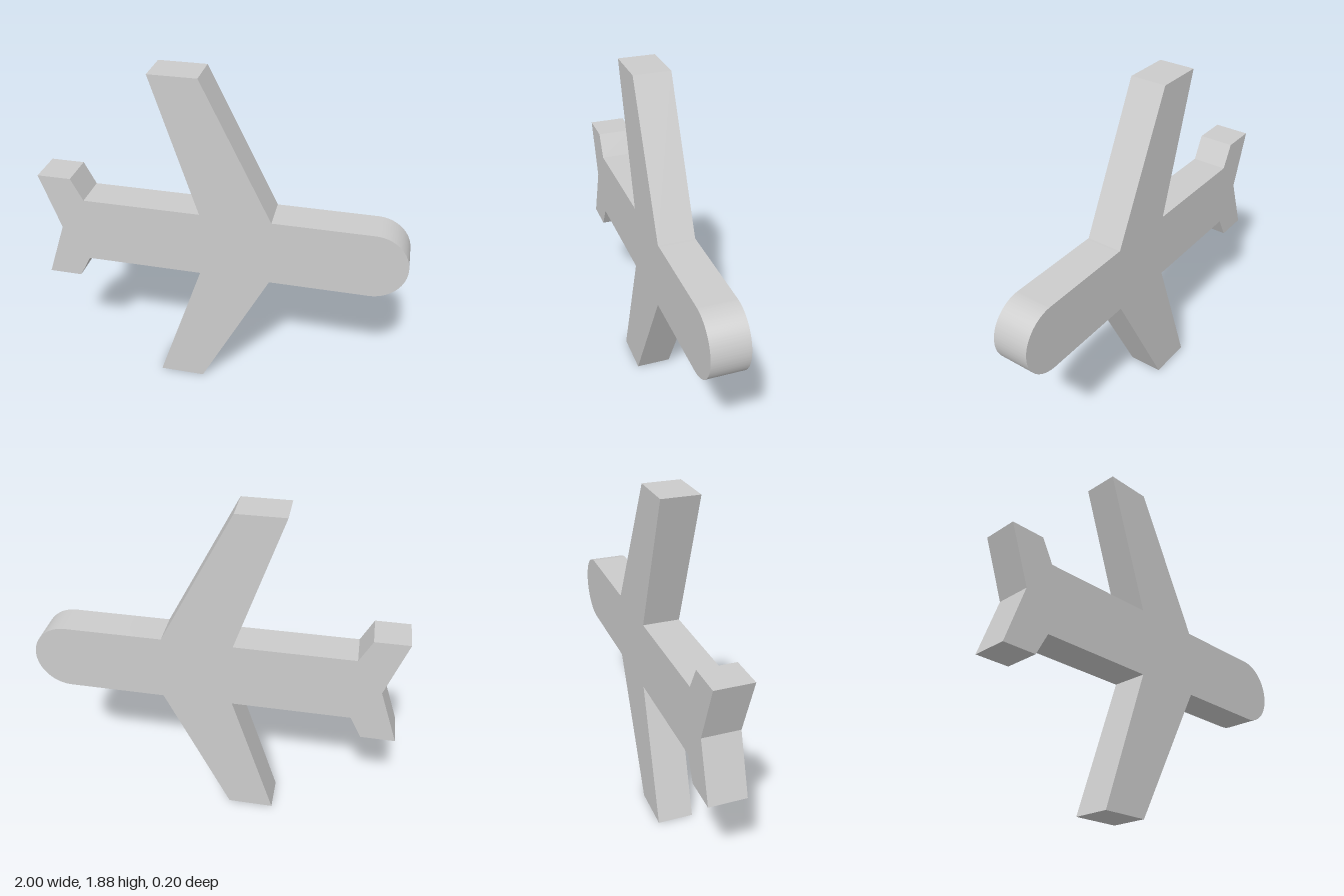
import * as THREE from 'three';
import { toCreasedNormals } from 'three/addons/utils/BufferGeometryUtils.js';

const DEPTH = 0.2;
const HALF_SPAN = 0.94;
const NOSE_RADIUS = 0.1875;

// Upper half of the outline, from the nose back to the tail notch
const upperOutline = [
  [0.28, NOSE_RADIUS],    // wing root, leading edge
  [-0.1, HALF_SPAN],      // wing tip
  [-0.355, HALF_SPAN],
  [-0.105, NOSE_RADIUS],  // wing root, trailing edge
  [-0.75, NOSE_RADIUS],   // tail fin
  [-0.815, 0.3125],
  [-1, 0.3125],
];

export function createModel() {
  const shape = new THREE.Shape();

  // Round nose, swept from bottom to top
  shape.absarc(1 - NOSE_RADIUS, 0, NOSE_RADIUS, -Math.PI / 2, Math.PI / 2, false);

  // Upper wing and fin, tail notch, then the mirrored lower half
  upperOutline.forEach(([x, y]) => shape.lineTo(x, y));
  shape.lineTo(-0.893, 0);
  [...upperOutline].reverse().forEach(([x, y]) => shape.lineTo(x, -y));
  shape.closePath();

  const extruded = new THREE.ExtrudeGeometry(shape, {
    depth: DEPTH, bevelEnabled: false, curveSegments: 48,
  });
  extruded.translate(0, HALF_SPAN, -DEPTH / 2);

  // Smooth nose, sharp edges elsewhere
  const airplane = new THREE.Mesh(
    toCreasedNormals(extruded, 0.3),
    new THREE.MeshStandardMaterial({ color: 0xcccccc }),
  );
  airplane.name = 'airplaneBody';

  const group = new THREE.Group();
  group.name = 'airplane';
  group.add(airplane);
  return group;
}
